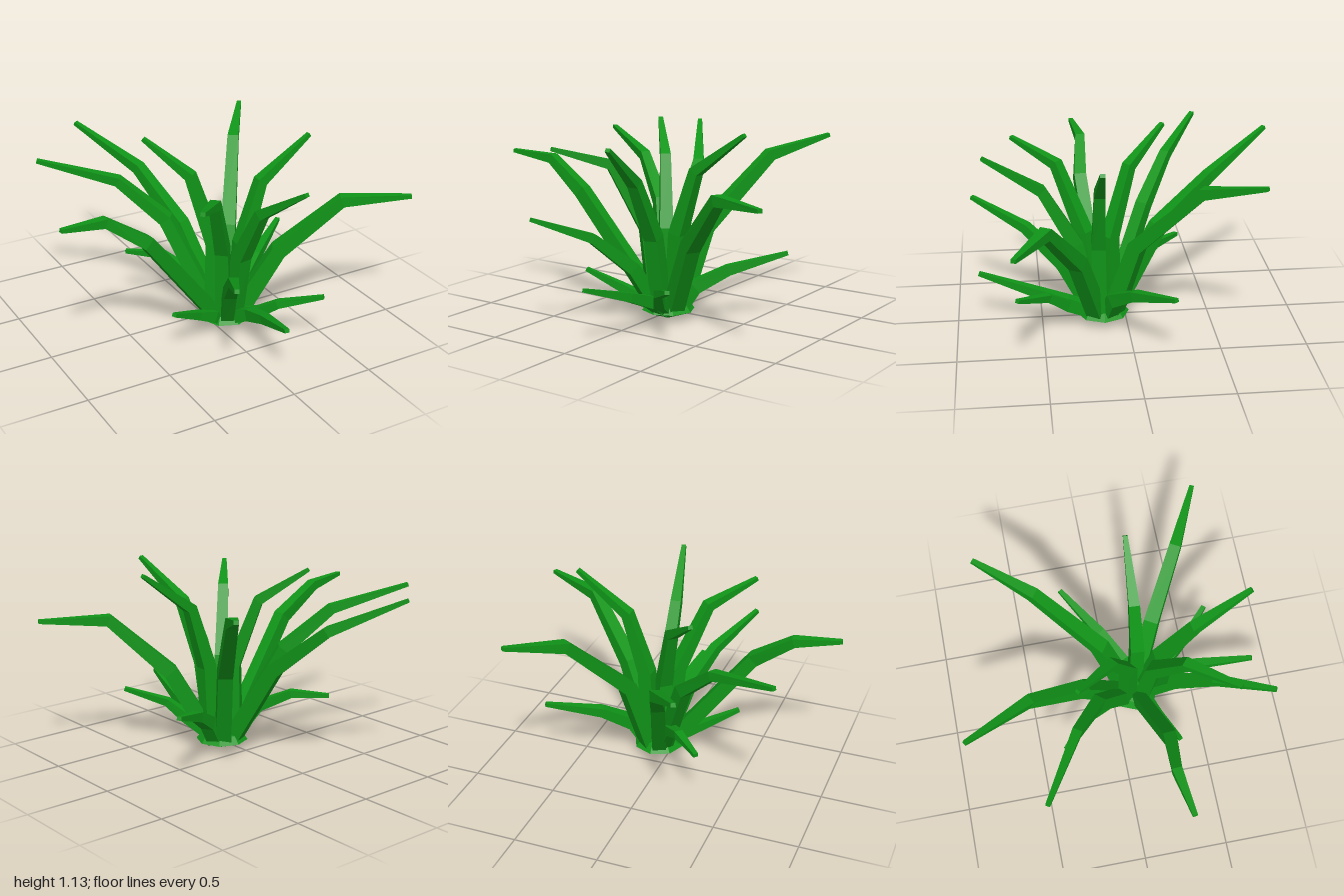
import * as THREE from 'three';

const CENTRE = new THREE.Vector3(0.07, 0.07, 0.14);

// Each leaf: lower bend, upper bend and tip as [x, y, z], plus a thickness factor
const LEAVES = [
  [[-0.05, 0.54, -0.2], [-0.16, 0.81, -0.52], [-0.4, 1.02, -0.895], 1],
  [[-0.18, 0.63, -0.13], [-0.41, 0.865, -0.29], [-0.815, 0.99, -0.515], 0.9],
  [[-0.07, 0.28, -0.04], [-0.18, 0.37, -0.2], [-0.34, 0.36, -0.355], 0.75],
  [[0.2, 0.53, -0.05], [0.43, 0.93, -0.39], [0.655, 1.03, -0.695], 1.05],
  [[0.22, 0.2, 0.08], [0.38, 0.3, -0.02], [0.66, 0.4, -0.215], 0.95],
  [[0.16, 0.52, 0.17], [0.28, 0.89, 0.17], [0.6, 1.12, 0.18], 1],
  [[0.33, 0.49, 0.3], [0.63, 0.815, 0.49], [0.99, 0.83, 0.665], 1.05],
  [[0.16, 0.15, 0.36], [0.23, 0.24, 0.47], [0.42, 0.32, 0.65], 0.75],
  [[0.08, 0.51, 0.3], [0.09, 0.85, 0.49], [0.16, 1.08, 0.815], 1],
  [[0.11, 0.15, 0.36], [0.09, 0.22, 0.55], [0.03, 0.32, 0.865], 0.85],
  [[-0.03, 0.33, 0.36], [-0.14, 0.53, 0.58], [-0.31, 0.67, 0.895], 0.9],
  [[-0.01, 0.54, 0.24], [-0.15, 0.92, 0.39], [-0.37, 1.02, 0.645], 0.95],
  [[-0.06, 0.11, 0.21], [-0.18, 0.17, 0.25], [-0.38, 0.27, 0.335], 0.8],
  [[-0.49, 0.71, 0.23], [-0.73, 0.88, 0.21], [-1, 0.91, 0.25], 0.9],
  [[0.02, 0.52, 0.09], [-0.07, 0.92, -0.03], [-0.26, 1.11, -0.25], 0.95],
];

const WIDTHS = [0.085, 0.082, 0.064, 0.027];
const DEPTHS = [0.1, 0.085, 0.062, 0.022];

// Tapered four-sided blade swept through its bends
function leafGeometry(points, scale) {
  const out = points[3].clone().sub(CENTRE).setY(0).normalize();
  const side = new THREE.Vector3(out.z, 0, -out.x);
  const positions = [];
  const index = [];
  points.forEach((p, i) => {
    const before = p.clone().sub(points[Math.max(i - 1, 0)]).normalize();
    const after = points[Math.min(i + 1, 3)].clone().sub(p).normalize();
    const tangent = before.add(after).normalize();
    const across = side.clone().addScaledVector(tangent, -side.dot(tangent)).normalize();
    const up = new THREE.Vector3().crossVectors(tangent, across);
    const k = i === 3 ? 1 : scale;
    for (const [a, b] of [[-1, -1], [1, -1], [1, 1], [-1, 1]]) {
      const v = p.clone()
        .addScaledVector(across, (a * WIDTHS[i] * k) / 2)
        .addScaledVector(up, (b * DEPTHS[i] * k) / 2);
      positions.push(v.x, v.y, v.z);
    }
  });
  for (let i = 0; i < 3; i++) {
    for (let j = 0; j < 4; j++) {
      const a = i * 4 + j, b = i * 4 + ((j + 1) % 4);
      index.push(a, b, b + 4, a, b + 4, a + 4);
    }
  }
  index.push(0, 2, 1, 0, 3, 2, 12, 13, 14, 12, 14, 15);
  const g = new THREE.BufferGeometry();
  g.setAttribute('position', new THREE.Float32BufferAttribute(positions, 3));
  g.setIndex(index);
  const flat = g.toNonIndexed();
  flat.computeVertexNormals();
  return flat;
}

export function createModel() {
  const group = new THREE.Group();
  group.name = 'spikyPlant';
  const green = new THREE.MeshStandardMaterial({ color: 0x109418, flatShading: true });

  // Faceted crown, pointed underneath
  const profile = [[0, 0], [0.155, 0.055], [0.12, 0.1], [0, 0.13]].map(([r, y]) => new THREE.Vector2(r, y));
  const crown = new THREE.Mesh(new THREE.LatheGeometry(profile, 8), green);
  crown.name = 'crown';
  crown.position.set(CENTRE.x, 0, CENTRE.z);
  group.add(crown);

  // Leaves fan out from the crown
  LEAVES.forEach(([low, high, tip, scale], i) => {
    const bends = [low, high, tip].map((p) => new THREE.Vector3(...p));
    const root = bends[0].clone().sub(CENTRE).setY(0).normalize().multiplyScalar(0.07).add(CENTRE);
    const leaf = new THREE.Mesh(leafGeometry([root, ...bends], scale), green);
    leaf.name = `leaf${i + 1}`;
    group.add(leaf);
  });
  return group;
}
